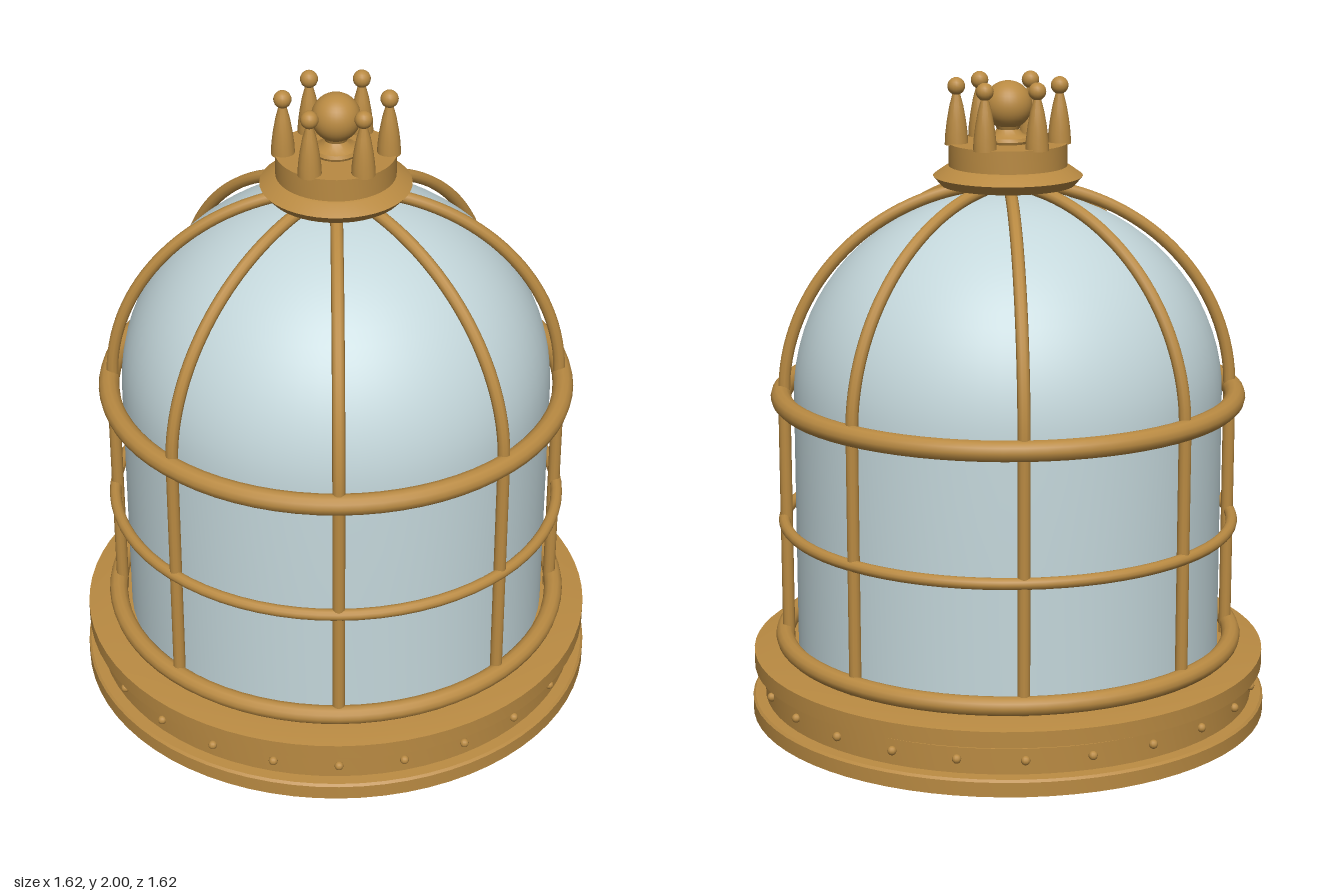
import * as THREE from 'three';
import { toCreasedNormals } from 'three/addons/utils/BufferGeometryUtils.js';

export function createModel() {
  const model = new THREE.Group();
  const brass = new THREE.MeshStandardMaterial({ color: 0xb98a42 });
  brass.name = 'brass';
  const glass = new THREE.MeshStandardMaterial({ color: 0xc4d7db });
  glass.name = 'pale glass';

  const add = (name, geometry, material = brass, parent = model) => {
    const mesh = new THREE.Mesh(geometry, material);
    mesh.name = name;
    parent.add(mesh);
    return mesh;
  };
  // Turned part from [radius, height] pairs, bottom to top, with sharp edges kept
  const turned = (profile, sides) => toCreasedNormals(
    new THREE.LatheGeometry(profile.map(([r, y]) => new THREE.Vector2(r, y)), sides), 0.6);

  // Stepped base with a recessed band
  add('base', turned([
    [0, 0], [0.812, 0], [0.812, 0.045], [0.805, 0.052], [0.772, 0.055], [0.772, 0.135],
    [0.745, 0.14], [0.745, 0.15], [0.805, 0.15], [0.805, 0.2], [0.735, 0.212], [0, 0.212],
  ], 72));

  // Rivets round the band
  const rivets = new THREE.Group();
  rivets.name = 'rivets';
  model.add(rivets);
  const rivetShape = new THREE.SphereGeometry(0.014, 10, 8);
  for (let i = 0; i < 24; i++) {
    const a = (i / 24) * Math.PI * 2;
    add('rivet', rivetShape, brass, rivets)
      .position.set(Math.sin(a) * 0.776, 0.1, Math.cos(a) * 0.776);
  }

  // Glass cylinder with a rounded dome
  const shell = [[0.665, 0.21], [0.665, 0.62]];
  for (let i = 0; i <= 20; i++) {
    const t = (i / 20) * Math.PI / 2;
    shell.push([0.665 * Math.max(0, Math.cos(t)), 1.02 + 0.628 * Math.sin(t)]);
  }
  add('glassDome', turned(shell, 64), glass);

  // Horizontal hoops: height, ring radius, tube radius
  for (const [name, y, radius, tube] of [
    ['lowerHoop', 0.243, 0.707, 0.029],
    ['middleHoop', 0.618, 0.702, 0.018],
    ['upperHoop', 1.018, 0.705, 0.032],
  ]) {
    const hoop = add(name, new THREE.TorusGeometry(radius, tube, 12, 72));
    hoop.rotation.x = Math.PI / 2;
    hoop.position.y = y;
  }

  // Eight cage bars, straight below and curved over the dome
  const barShape = new THREE.CylinderGeometry(0.019, 0.019, 0.82, 12);
  const arc = [];
  for (let i = 0; i <= 14; i++) {
    const t = (i / 14) * 1.42;
    arc.push(new THREE.Vector3(0.695 * Math.cos(t), 1.02 + 0.655 * Math.sin(t), 0));
  }
  const ribShape = new THREE.TubeGeometry(new THREE.CatmullRomCurve3(arc), 32, 0.019, 10);
  for (let i = 0; i < 8; i++) {
    const bar = new THREE.Group();
    bar.name = 'cageBar';
    bar.rotation.y = (i / 8) * Math.PI * 2;
    add('upright', barShape, brass, bar).position.set(0.695, 0.61, 0);
    add('domeRib', ribShape, brass, bar);
    model.add(bar);
  }

  // Flared cap
  add('cap', turned([
    [0, 1.672], [0.205, 1.672], [0.229, 1.7], [0.19, 1.727], [0.181, 1.73],
    [0.181, 1.8], [0, 1.8],
  ], 48));

  // Crown of six tapered prongs tipped with beads
  const prongShape = turned([
    [0.036, 1.795], [0.034, 1.83], [0.029, 1.87], [0.021, 1.915], [0.013, 1.945], [0.01, 1.965],
  ], 16);
  const beadShape = new THREE.SphereGeometry(0.027, 16, 12);
  for (let i = 0; i < 6; i++) {
    const prong = new THREE.Group();
    prong.name = 'crownProng';
    const a = (i / 6) * Math.PI * 2;
    prong.position.set(Math.cos(a) * 0.157, 0, Math.sin(a) * 0.157);
    add('prong', prongShape, brass, prong);
    add('bead', beadShape, brass, prong).position.y = 1.973;
    model.add(prong);
  }

  // Central finial
  add('finialFoot', turned([
    [0.065, 1.797], [0.07, 1.808], [0.065, 1.818], [0.045, 1.827], [0.034, 1.842],
    [0.04, 1.856], [0.045, 1.87],
  ], 24));
  add('finialBall', new THREE.SphereGeometry(0.074, 32, 20)).position.y = 1.915;

  return model;
}
